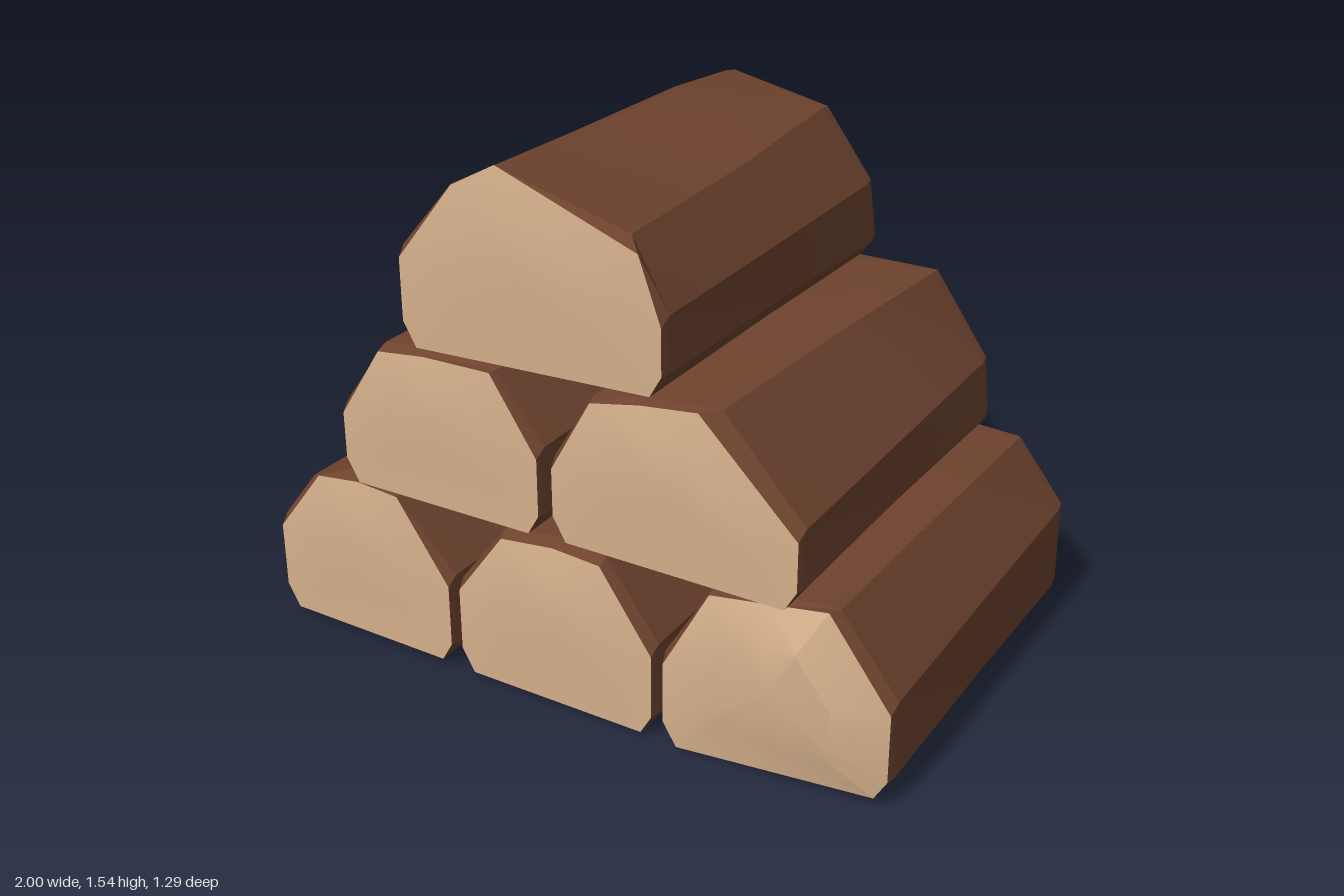
import * as THREE from 'three';
import { toCreasedNormals } from 'three/addons/utils/BufferGeometryUtils.js';

const lerp = THREE.MathUtils.lerp;

// Each log: side edges x, underside y (left, right), heights of the widest points,
// then shoulder, crown, shoulder at the back and at the front, and the right-hand rim z
const LOGS = [
  { name: 'bottomLeftLog', x: [-1, -0.345], low: [0.03, 0.03], wide: [0.36, 0.34],
    back: [[-0.92, 0.46], [-0.77, 0.57], [-0.53, 0.54]],
    front: [[-0.82, 0.51], [-0.67, 0.53], [-0.53, 0.52]], rim: [0.625, -0.6] },
  { name: 'bottomMiddleLog', x: [-0.34, 0.325], low: [0.02, 0.02], wide: [0.34, 0.33],
    back: [[-0.18, 0.53], [0, 0.56], [0.16, 0.53]],
    front: [[-0.17, 0.49], [0, 0.51], [0.15, 0.5]], rim: [0.62, -0.59] },
  { name: 'bottomRightLog', x: [0.33, 1], low: [0.01, 0.04], wide: [0.32, 0.36],
    back: [[0.47, 0.52], [0.65, 0.56], [0.85, 0.55]],
    front: [[0.48, 0.51], [0.65, 0.53], [0.81, 0.55]], rim: [0.575, -0.61] },
  { name: 'middleLeftLog', x: [-0.72, -0.02], low: [0.53, 0.54], wide: [0.8, 0.83],
    back: [[-0.55, 1], [-0.42, 1.03], [-0.16, 0.99]],
    front: [[-0.56, 0.96], [-0.4, 0.98], [-0.18, 0.985]], rim: [0.63, -0.59] },
  { name: 'middleRightLog', x: [-0.01, 0.75], low: [0.54, 0.54], wide: [0.81, 0.8],
    back: [[0.11, 0.98], [0.28, 1.03], [0.57, 1.04]],
    front: [[0.13, 0.97], [0.28, 1], [0.45, 1.02]], rim: [0.62, -0.555] },
  { name: 'topLog', x: [-0.48, 0.36], low: [1, 1.03], wide: [1.31, 1.28],
    back: [[-0.33, 1.46], [-0.14, 1.54], [0.2, 1.48]],
    front: [[-0.28, 1.48], [-0.14, 1.555], [0.28, 1.4]], rim: [0.62, -0.545] },
];

// Half-round outline from bottom left over the top to bottom right
function outline({ x: [l, r], low: [lowL, lowR], wide: [wideL, wideR] }, top, inset, drop) {
  return [
    [l + 0.055, lowL], [l + inset, lowL + 0.07], [l + inset, wideL - drop],
    ...top,
    [r - inset, wideR - drop], [r - inset, lowR + 0.06], [r - 0.05, lowR],
  ];
}

function meshFrom(tris, material, name) {
  const geo = new THREE.BufferGeometry();
  geo.setAttribute('position', new THREE.Float32BufferAttribute(tris.flat(), 3));
  const mesh = new THREE.Mesh(toCreasedNormals(geo, 0.35), material);
  mesh.name = name;
  return mesh;
}

function makeLog(spec, bark, wood) {
  const [x0, x1] = spec.x, y0 = spec.low[0], y1 = spec.back[1][1];
  const cx = (x0 + x1) / 2, cy = (y0 + y1) / 2;
  const front = outline(spec, spec.front, 0.015, 0.06);
  const back = outline(spec, spec.back, 0, 0);
  const n = front.length;

  // One loop: outline blended from front to back, scaled about the log's centre
  const ring = (t, scale, zOf) => front.map((f, i) => {
    const x = lerp(f[0], back[i][0], t), y = lerp(f[1], back[i][1], t);
    return [cx + (x - cx) * scale, cy + (y - cy) * scale, zOf((x - x0) / (x1 - x0), (y - y0) / (y1 - y0))];
  });
  const frontZ = u => lerp(0.62, spec.rim[0], u);
  const backZ = (u, v) => lerp(-0.62, spec.rim[1], u * Math.min(1, v * 2));

  const rings = [
    ring(0, 1, frontZ),
    ring(0.45, 1, u => frontZ(u) - 0.03),
    ring(0.65, 0.992, () => 0.02),
    ring(1, 1, (u, v) => backZ(u, v) + 0.05),
    ring(1, 0.97, backZ),
  ];

  // Bark wraps the round side; the last strip of each loop is the split wooden underside
  const barkTris = [], undersideTris = [], endTris = [];
  for (let r = 0; r < rings.length - 1; r++) {
    const a = rings[r], b = rings[r + 1];
    for (let i = 0; i < n; i++) {
      const j = (i + 1) % n;
      (j === 0 ? undersideTris : barkTris).push(...a[i], ...a[j], ...b[j], ...a[i], ...b[j], ...b[i]);
    }
  }

  // Cut ends: a gentle bulge in front, a hewn faceted point behind
  const inner = ring(0, 0.55, (u, v) => Math.max(frontZ(u), 0.625) + 0.012 * v);
  const frontTip = [cx, cy, 0.638], backTip = [cx + 0.03, cy + 0.07, -0.648];
  const rim = rings[0], tail = rings[rings.length - 1];
  for (let i = 0; i < n; i++) {
    const j = (i + 1) % n;
    endTris.push(...rim[i], ...inner[j], ...rim[j], ...rim[i], ...inner[i], ...inner[j]);
    endTris.push(...inner[i], ...frontTip, ...inner[j]);
    endTris.push(...tail[i], ...tail[j], ...backTip);
  }

  const log = new THREE.Group();
  log.name = spec.name;
  log.add(
    meshFrom(barkTris, bark, 'bark'),
    meshFrom(undersideTris, wood, 'splitUnderside'),
    meshFrom(endTris, wood, 'cutEnds'),
  );
  return log;
}

export function createModel() {
  const bark = new THREE.MeshStandardMaterial({ color: 0x6e432e });
  bark.name = 'barkBrown';
  const wood = new THREE.MeshStandardMaterial({ color: 0xd6b18c });
  wood.name = 'paleWood';

  const pile = new THREE.Group();
  pile.name = 'logPile';
  for (const spec of LOGS) pile.add(makeLog(spec, bark, wood));
  return pile;
}
